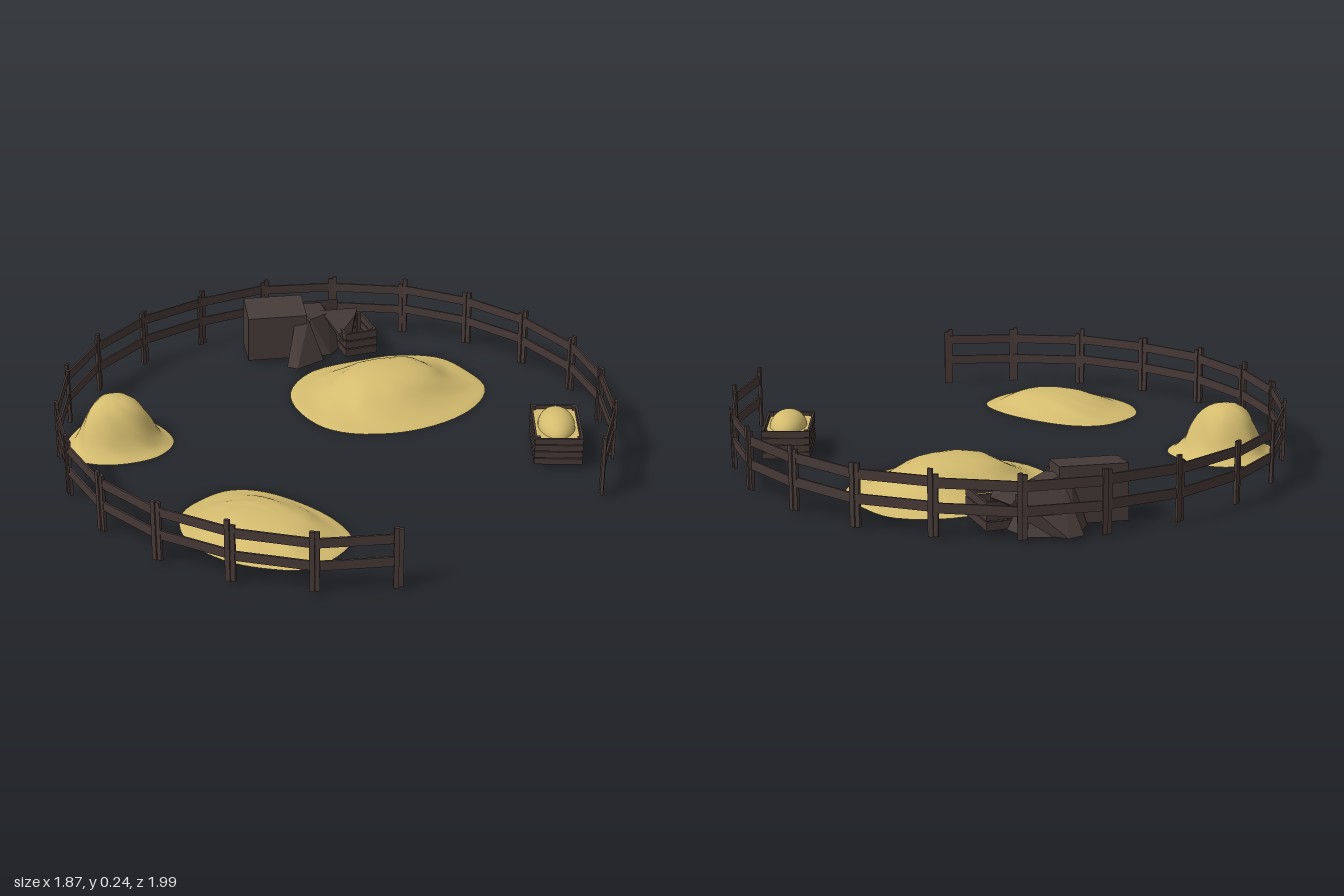
import * as THREE from 'three';
import { ConvexGeometry } from 'three/addons/geometries/ConvexGeometry.js';

const mat = (name, color, extra = {}) => Object.assign(new THREE.MeshStandardMaterial({ color, ...extra }), { name });

export function createModel() {
  const model = new THREE.Group();
  model.name = 'hayYard';
  const wood = mat('dark wood', 0x463936);
  const cloth = mat('dark canvas', 0x463b38, { flatShading: true, side: THREE.DoubleSide });
  const hay = mat('hay', 0xd3bb6e);
  const V = (x, y, z) => new THREE.Vector3(x, y, z);

  const add = (parent, name, geo, material, x = 0, y = 0, z = 0, ry = 0) => {
    const m = new THREE.Mesh(geo, material);
    m.name = name;
    m.position.set(x, y, z);
    m.rotation.y = ry;
    parent.add(m);
    return m;
  };
  const box = (parent, name, w, h, d, ...at) => add(parent, name, new THREE.BoxGeometry(w, h, d), wood, ...at);

  // Fence: open ring of posts, two planks each, joined by two rails
  const posts = [[0.91, -0.48], [0.75, -0.7], [0.53, -0.86], [0.28, -0.965], [0, -0.985], [-0.27, -0.94],
    [-0.51, -0.815], [-0.72, -0.625], [-0.86, -0.39], [-0.925, -0.125], [-0.925, 0.15], [-0.85, 0.41],
    [-0.7, 0.64], [-0.49, 0.82], [-0.245, 0.935], [0.03, 0.985], [0.3, 0.95], [0.555, 0.845],
    [0.77, 0.675], [0.92, 0.455]];
  const fence = new THREE.Group();
  fence.name = 'fence';
  model.add(fence);
  posts.forEach(([x, z], i) => {
    const post = new THREE.Group();
    post.name = 'post';
    post.position.set(x, 0.012, z);
    const a = posts[Math.max(i - 1, 0)], b = posts[Math.min(i + 1, posts.length - 1)];
    post.rotation.y = Math.atan2(-(b[1] - a[1]), b[0] - a[0]);
    fence.add(post);
    const lift = 0.005 * Math.sin(i * 2.3);
    box(post, 'postPlank', 0.017, 0.222 + lift, 0.011, -0.008, 0.111 + lift / 2, 0.003);
    box(post, 'postPlank', 0.016, 0.212 - lift, 0.011, 0.008, 0.106 - lift / 2, -0.003);
    if (i === posts.length - 1) return;
    const n = posts[i + 1], dx = n[0] - x, dz = n[1] - z;
    for (const y of [0.108, 0.191]) {
      const rail = box(fence, 'rail', Math.hypot(dx, dz), 0.034, 0.007,
        x + dx / 2, y + 0.003 * Math.sin(i * 1.7), z + dz / 2, Math.atan2(-dz, dx));
      rail.rotation.z = 0.015 * Math.sin(i * 2.9);
    }
  });

  // Hay heap: rings shrink from a curved outline to the peak, following a height profile
  function heap(name, outline, peak, profile, steps = 48) {
    const curve = new THREE.CatmullRomCurve3(outline.map(([x, z]) => V(x, 0, z)), true);
    const rim = curve.getPoints(steps).slice(0, steps);
    const heights = new THREE.CatmullRomCurve3(profile.map(([t, y]) => V(t, y, 0))).getPoints(16);
    const pos = [], idx = [];
    heights.forEach(({ x: t, y }, k) => rim.forEach((p, j) => {
      const wave = 1 + 0.025 * Math.sin(j * 0.9 + k) * t * (1 - t) * 4;
      pos.push(peak[0] + (p.x - peak[0]) * t * wave, y, peak[1] + (p.z - peak[1]) * t * wave);
      if (k === heights.length - 1) return;
      const a = k * steps + j, b = k * steps + (j + 1) % steps;
      idx.push(a, b, a + steps, b, b + steps, a + steps);
    }));
    const geo = new THREE.BufferGeometry();
    geo.setAttribute('position', new THREE.Float32BufferAttribute(pos, 3));
    geo.setIndex(idx);
    geo.computeVertexNormals();
    add(model, name, geo, hay);
    // Flat underside
    const base = new THREE.ShapeGeometry(new THREE.Shape(rim.map((p) => new THREE.Vector2(p.x, p.z))));
    base.rotateX(Math.PI / 2);
    add(model, name + 'Base', base, hay, 0, 0.002, 0);
  }
  // Outlines run counter-clockwise seen from above
  heap('largeHayHeap', [[-0.47, -0.32], [-0.4, -0.16], [-0.28, -0.08], [-0.1, -0.055], [0.01, -0.1], [0.11, -0.22],
    [0.16, -0.36], [0.165, -0.52], [0.12, -0.66], [0.04, -0.75], [-0.1, -0.785], [-0.25, -0.78], [-0.37, -0.67],
    [-0.43, -0.52]], [-0.13, -0.42],
  [[1, 0.002], [0.95, 0.008], [0.8, 0.02], [0.62, 0.048], [0.42, 0.092], [0.2, 0.112], [0, 0.116]]);
  heap('lowHayHeap', [[0.06, 0.58], [0.09, 0.7], [0.19, 0.78], [0.32, 0.8], [0.45, 0.77], [0.56, 0.7], [0.64, 0.61],
    [0.645, 0.48], [0.59, 0.37], [0.47, 0.335], [0.3, 0.35], [0.14, 0.41], [0.07, 0.49]], [0.4, 0.54],
  [[1, 0.002], [0.95, 0.007], [0.8, 0.017], [0.6, 0.04], [0.4, 0.058], [0.2, 0.065], [0, 0.067]]);
  heap('tallHayHeap', [[-0.665, 0.57], [-0.63, 0.67], [-0.56, 0.75], [-0.46, 0.785], [-0.36, 0.73], [-0.3, 0.63],
    [-0.285, 0.53], [-0.34, 0.43], [-0.47, 0.4], [-0.59, 0.43]], [-0.475, 0.59],
  [[1, 0.002], [0.95, 0.007], [0.83, 0.022], [0.72, 0.05], [0.6, 0.1], [0.46, 0.145], [0.26, 0.175], [0, 0.184]]);

  // Slatted crate, open on top
  function crate(name, w, h, d, rows) {
    const g = new THREE.Group();
    g.name = name;
    const pitch = h / rows;
    for (let r = 0; r < rows; r++) {
      const y = pitch * (r + 0.5);
      for (const s of [-1, 1]) {
        box(g, 'sideSlat', w, pitch * 0.86, 0.008, 0, y, s * (d / 2 - 0.004));
        box(g, 'endSlat', 0.008, pitch * 0.86, d - 0.016, s * (w / 2 - 0.004), y, 0);
      }
    }
    for (const sx of [-1, 1]) for (const sz of [-1, 1])
      box(g, 'cornerPost', 0.014, h, 0.014, sx * (w / 2 - 0.013), h / 2, sz * (d / 2 - 0.013));
    box(g, 'bottom', w - 0.016, 0.008, d - 0.016, 0, 0.006, 0);
    model.add(g);
    return g;
  }

  // Crate filled with hay
  const full = crate('hayCrate', 0.265, 0.105, 0.17, 4);
  full.position.set(0.578, 0.015, -0.59);
  full.rotation.y = -0.71;
  add(full, 'hayFill', new THREE.BoxGeometry(0.245, 0.07, 0.15), hay, 0, 0.055, 0);
  const dome = add(full, 'hayMound', new THREE.SphereGeometry(1, 28, 10, 0, Math.PI * 2, 0, Math.PI / 2), hay, 0, 0.085, 0);
  dome.scale.set(0.108, 0.06, 0.067);

  // Empty crate leaning behind the covered stack
  const empty = crate('emptyCrate', 0.19, 0.1, 0.13, 3);
  empty.position.set(-0.53, 0.015, -0.575);
  empty.rotation.y = -0.35;

  // Tall covered box, slightly wider at the foot
  const tall = new THREE.BoxGeometry(0.16, 0.185, 0.235);
  const tp = tall.attributes.position;
  for (let i = 0; i < tp.count; i++) {
    if (tp.getY(i) > 0) tp.setXYZ(i, tp.getX(i) * 0.97, tp.getY(i) - 0.01 * Math.sign(tp.getX(i)), tp.getZ(i) * 0.97);
  }
  add(model, 'coveredBox', tall, cloth, -0.69, 0.108, -0.31, -0.53);

  // Crumpled canvas: overlapping angular folds beside the box
  const fold = (name, pts) => add(model, name, new ConvexGeometry(pts.map((p) => V(...p))), cloth);
  fold('canvasMound', [[-0.82, 0.015, -0.49], [-0.72, 0.015, -0.61], [-0.58, 0.015, -0.6], [-0.52, 0.015, -0.45],
    [-0.57, 0.015, -0.33], [-0.76, 0.015, -0.38], [-0.76, 0.1, -0.49], [-0.68, 0.16, -0.53], [-0.6, 0.15, -0.5],
    [-0.58, 0.16, -0.4], [-0.7, 0.185, -0.4]]);
  fold('canvasFlap', [[-0.5, 0.015, -0.27], [-0.54, 0.015, -0.25], [-0.5, 0.015, -0.4], [-0.57, 0.17, -0.38],
    [-0.6, 0.17, -0.34], [-0.6, 0.03, -0.32]]);
  fold('canvasFlap', [[-0.82, 0.015, -0.52], [-0.83, 0.015, -0.46], [-0.68, 0.15, -0.62], [-0.72, 0.17, -0.45],
    [-0.67, 0.02, -0.6]]);
  fold('canvasFlap', [[-0.6, 0.13, -0.655], [-0.66, 0.11, -0.62], [-0.5, 0.1, -0.48], [-0.47, 0.03, -0.5],
    [-0.62, 0.16, -0.48], [-0.55, 0.13, -0.6]]);
  return model;
}
